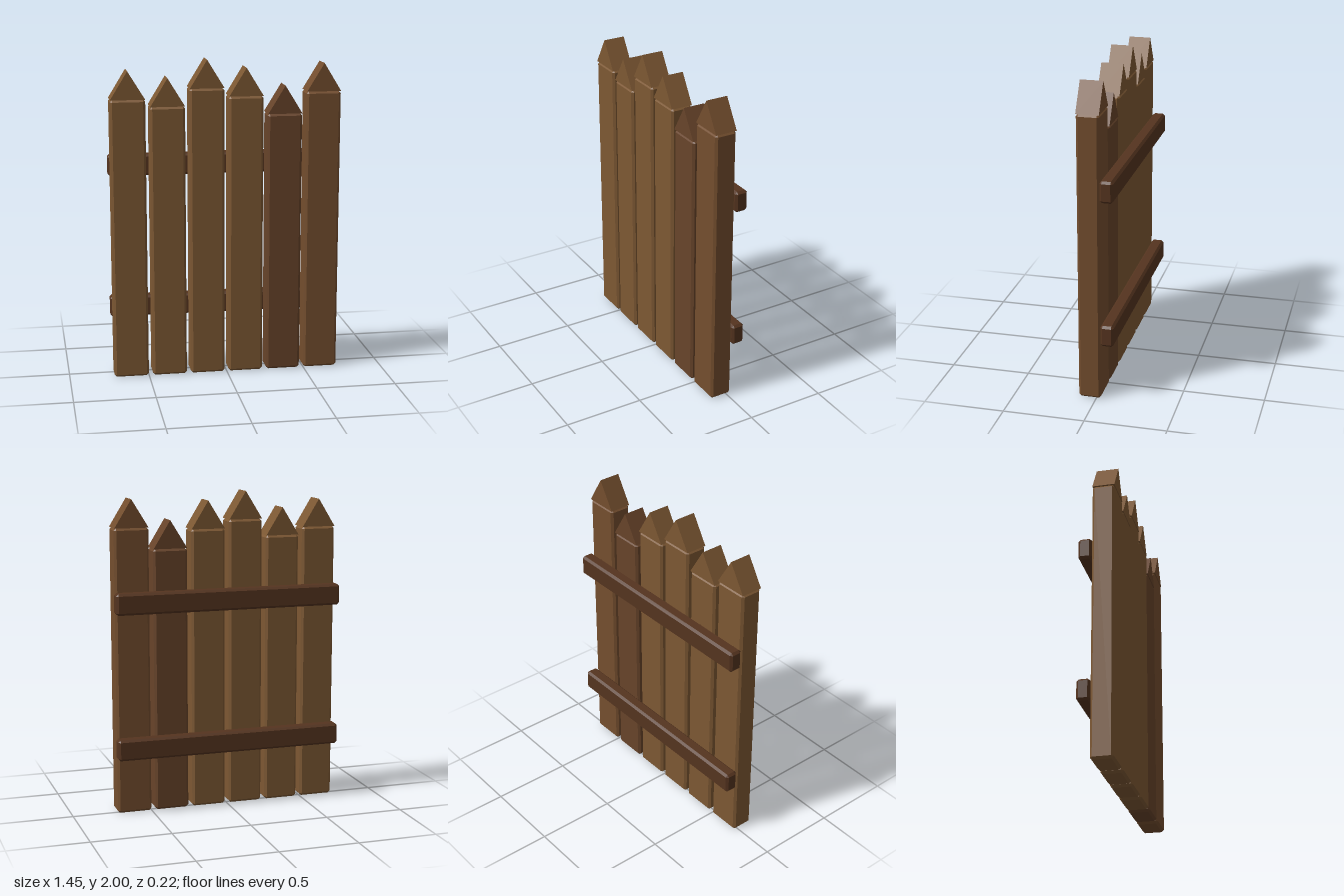
import * as THREE from 'three';
import { ConvexGeometry } from 'three/addons/geometries/ConvexGeometry.js';

// Box with every edge cut by a flat chamfer c
function chamferBox(w, h, d, c) {
  const pts = [];
  for (const x of [-1, 1]) for (const y of [-1, 1]) for (const z of [-1, 1]) {
    const X = x * w / 2, Y = y * h / 2, Z = z * d / 2;
    pts.push(
      new THREE.Vector3(X, Y - y * c, Z - z * c),
      new THREE.Vector3(X - x * c, Y, Z - z * c),
      new THREE.Vector3(X - x * c, Y - y * c, Z));
  }
  return new ConvexGeometry(pts);
}

// Triangular prism that caps a picket, base on y = 0
function gable(w, h, d) {
  const s = new THREE.Shape();
  s.moveTo(-w / 2, 0);
  s.lineTo(w / 2, 0);
  s.lineTo(0, h);
  s.closePath();
  return new THREE.ExtrudeGeometry(s, { depth: d, bevelEnabled: false }).translate(0, 0, -d / 2);
}

export function createModel() {
  const group = new THREE.Group();
  const wood = color => new THREE.MeshStandardMaterial({ color, flatShading: true });
  const light = wood(0x7d5833), dark = wood(0x68442a), medium = wood(0x744e2e), railWood = wood(0x55341f);

  const add = (parent, name, geometry, material, x, y, z) => {
    const mesh = new THREE.Mesh(geometry, material);
    mesh.name = name;
    mesh.position.set(x, y, z);
    parent.add(mesh);
  };

  // Pickets: uneven heights, each a chamfered board with a pointed cap
  const W = 0.217, D = 0.138, CAP = 0.175, Z = 0.041;
  const tips = [1.94, 1.893, 2, 1.947, 1.833, 1.967];
  const woods = [light, light, light, light, dark, medium];
  tips.forEach((tip, i) => {
    const picket = new THREE.Group();
    picket.name = `picket${i + 1}`;
    picket.position.set(-0.61 + 0.2436 * i, 0, Z);
    const h = tip - CAP;
    add(picket, 'board', chamferBox(W, h, D, 0.014), woods[i], 0, h / 2, 0);
    add(picket, 'pointedCap', gable(W - 0.002, CAP, D), woods[i], 0, h, 0);
    group.add(picket);
  });

  // Two rails across the back
  const rail = chamferBox(1.454, 0.133, 0.082, 0.014);
  add(group, 'lowerRail', rail, railWood, 0, 0.424, -0.069);
  add(group, 'upperRail', rail, railWood, 0, 1.336, -0.069);
  return group;
}
